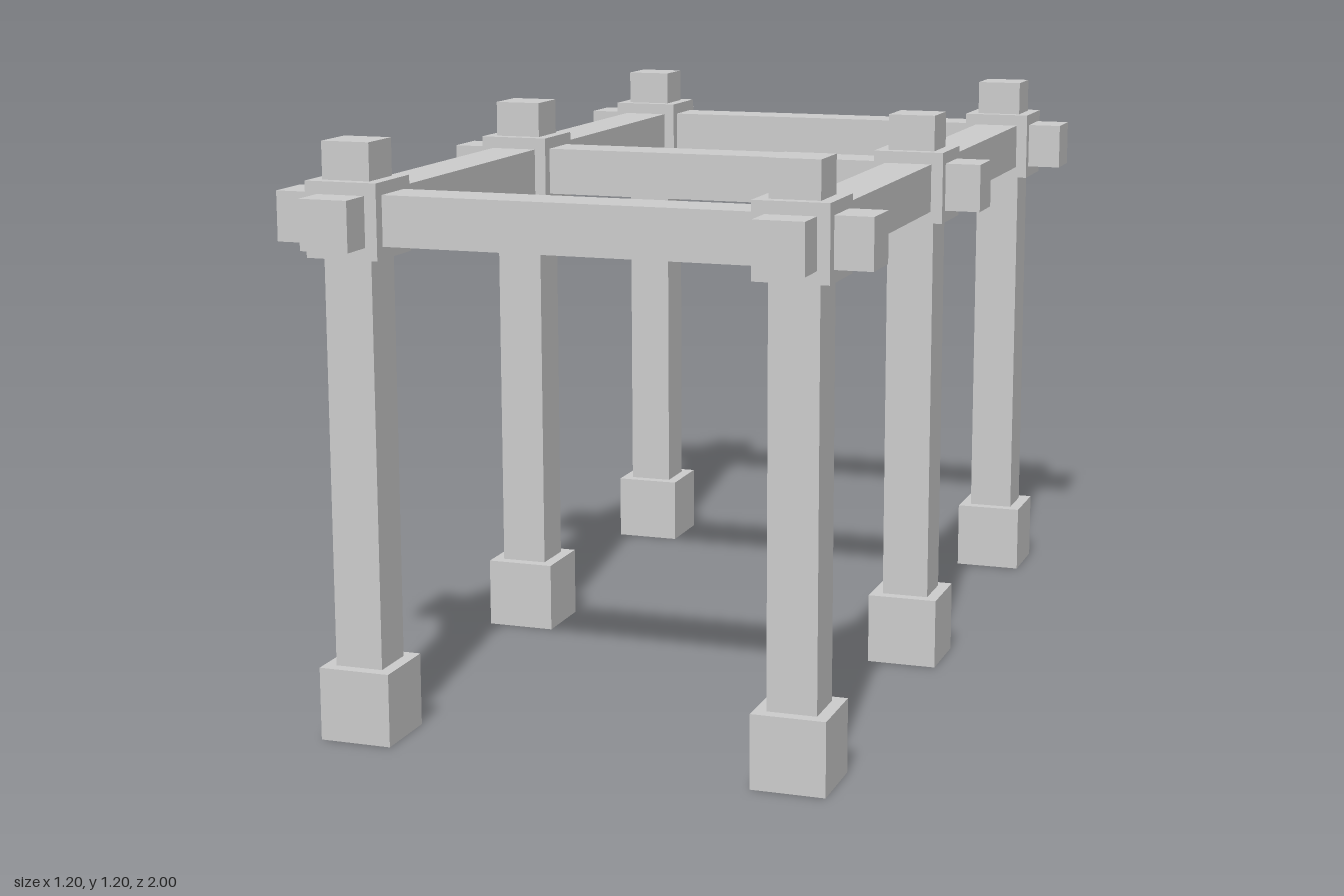
import * as THREE from 'three';

export function createModel() {
  const model = new THREE.Group();
  const material = new THREE.MeshStandardMaterial({ color: 0xcccccc, flatShading: true });

  const addBox = (name, [w, h, d], [x, y, z]) => {
    const mesh = new THREE.Mesh(new THREE.BoxGeometry(w, h, d), material);
    mesh.name = name;
    mesh.position.set(x, y, z);
    model.add(mesh);
  };

  const beam = 0.1;   // thickness of posts and beams
  const block = 0.15; // size of footings and joints
  const beamY = 1.05;
  const rows = [-0.85, 0, 0.85];
  const sides = [-0.45, 0.45];

  // Long beams running front to back
  for (const x of sides) addBox('longBeam', [beam, beam, 2], [x, beamY, 0]);

  for (const z of rows) {
    // Cross beam over each pair of posts
    addBox('crossBeam', [1.2, beam, beam], [0, beamY, z]);

    // Footing, post and joint block on each side
    for (const x of sides) {
      addBox('footing', [block, block, block], [x, block / 2, z]);
      addBox('post', [beam, 1.2 - block, beam], [x, (1.2 + block) / 2, z]);
      addBox('joint', [block, block, block], [x, beamY, z]);
    }
  }
  return model;
}
